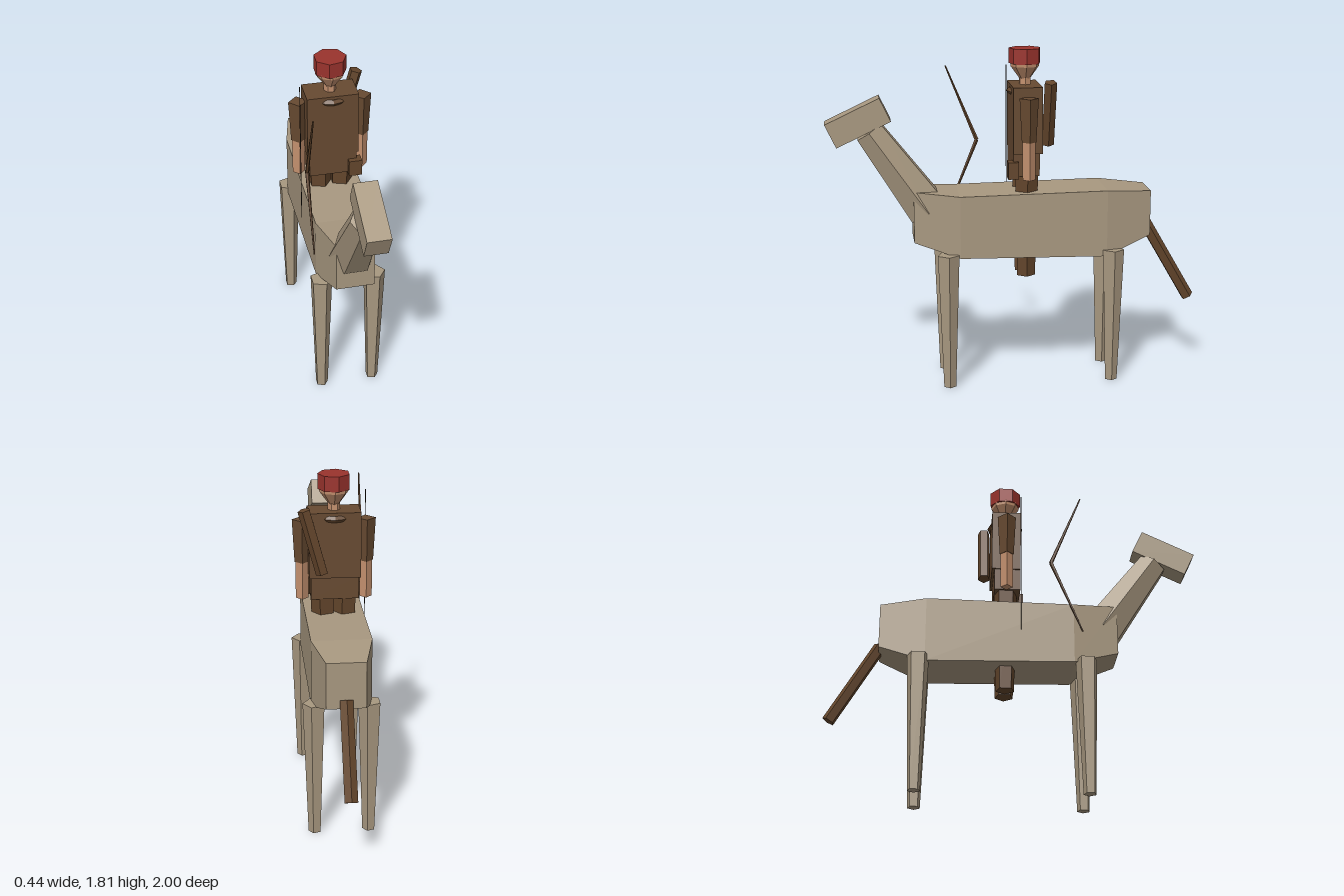
import * as THREE from 'three';

const colour = (name, color) => {
  const m = new THREE.MeshStandardMaterial({ color });
  m.name = name;
  return m;
};

export function createModel() {
  const tan = colour('horse tan', 0xa89880);
  const tunic = colour('tunic brown', 0x674a31);
  const leather = colour('leather brown', 0x64462c);
  const skin = colour('skin', 0xc4916f);
  const red = colour('cap red', 0x9a332d);
  const dark = colour('string dark', 0x2c241c);

  const group = new THREE.Group();

  // Adds a faceted mesh
  const add = (name, geo, mat, x = 0, y = 0, z = 0) => {
    const g = geo.index ? geo.toNonIndexed() : geo;
    g.computeVertexNormals();
    const mesh = new THREE.Mesh(g, mat);
    mesh.name = name;
    mesh.position.set(x, y, z);
    group.add(mesh);
    return mesh;
  };
  const box = (name, mat, w, h, d, x, y, z) => add(name, new THREE.BoxGeometry(w, h, d), mat, x, y, z);

  // Tapered prism between two points; start angle PI/2 puts a corner on +x
  const limb = (name, mat, a, b, rA, rB, sides, start = Math.PI / 2) => {
    const from = new THREE.Vector3(...a), to = new THREE.Vector3(...b);
    const dir = to.clone().sub(from);
    const geo = new THREE.CylinderGeometry(rB, rA, dir.length(), sides, 1, false, start);
    const mesh = add(name, geo, mat);
    mesh.position.copy(from).add(to).multiplyScalar(0.5);
    mesh.quaternion.setFromUnitVectors(new THREE.Vector3(0, 1, 0), dir.normalize());
    return mesh;
  };

  // Horse body: box with narrowed ends. Sections: z, half width, bottom, top
  const sections = [
    [-0.72, 0.10, 0.80, 1.045],
    [-0.475, 0.155, 0.705, 1.065],
    [0.31, 0.155, 0.72, 1.055],
    [0.55, 0.10, 0.80, 1.075],
  ];
  const body = new THREE.BoxGeometry(2, 2, 3, 1, 1, 3);
  const p = body.attributes.position;
  for (let i = 0; i < p.count; i++) {
    const [z, w, low, high] = sections[Math.round(p.getZ(i) + 1.5)];
    p.setXYZ(i, p.getX(i) * w, p.getY(i) > 0 ? high : low, z);
  }
  add('horseBody', body, tan);

  // Horse neck, head, legs and tail
  limb('horseNeck', tan, [0, 0.96, 0.472], [0, 1.39, 0.772], 0.12, 0.085, 6);
  box('horseHead', tan, 0.12, 0.137, 0.315, 0, 1.441, 0.829).rotation.x = 0.44;
  for (const x of [-0.142, 0.142])
    for (const z of [0.375, -0.51])
      limb('horseLeg', tan, [x, 0, z], [x, 0.74, z], 0.034, 0.06, 5);
  limb('horseTail', leather, [0, 0.412, -0.965], [0, 0.842, -0.715], 0.035, 0.035, 5, Math.PI);

  // Rider torso, hips, collar and pouch
  const rz = -0.05;
  box('riderTorso', tunic, 0.27, 0.35, 0.155, 0, 1.445, rz);
  box('riderHips', tunic, 0.25, 0.12, 0.14, 0, 1.21, -0.043);
  const collar = new THREE.TorusGeometry(0.08, 0.018, 5, 12);
  collar.rotateX(Math.PI / 2);
  add('collar', collar, leather, 0, 1.588, rz);
  box('pouch', leather, 0.07, 0.09, 0.055, 0.115, 1.185, 0.028);

  // Rider limbs
  for (const s of [-1, 1]) {
    limb('riderLeg', leather, [s * 0.047, 0.59, rz], [s * 0.06, 1.2, rz], 0.051, 0.066, 5);
    limb('sleeve', tunic, [s * 0.168, 1.34, rz], [s * 0.168, 1.57, rz], 0.038, 0.05, 4);
    limb('forearm', skin, [s * 0.168, 1.14, rz], [s * 0.168, 1.345, rz], 0.033, 0.034, 4);
  }

  // Rider neck, head and cap
  limb('riderNeck', skin, [0, 1.6, rz], [0, 1.66, rz], 0.032, 0.032, 6);
  limb('riderJaw', skin, [0, 1.65, rz], [0, 1.715, rz], 0.028, 0.075, 8);
  limb('riderFace', skin, [0, 1.715, rz], [0, 1.74, rz], 0.075, 0.078, 8);
  limb('cap', red, [0, 1.73, rz], [0, 1.81, rz], 0.085, 0.085, 7);

  // Quiver slung across the back
  limb('quiver', leather, [0.07, 1.31, -0.162], [0.162, 1.65, -0.162], 0.034, 0.034, 5);

  // Bow and its string
  const bx = -0.172;
  for (const y of [0.89, 1.7])
    limb('bowLimb', leather, [bx, 1.295, 0.19], [bx, y, 0.355], 0.011, 0.004, 5);
  limb('bowString', dark, [bx, 0.89, 0.028], [bx, 1.7, 0.028], 0.002, 0.002, 4);

  return group;
}
